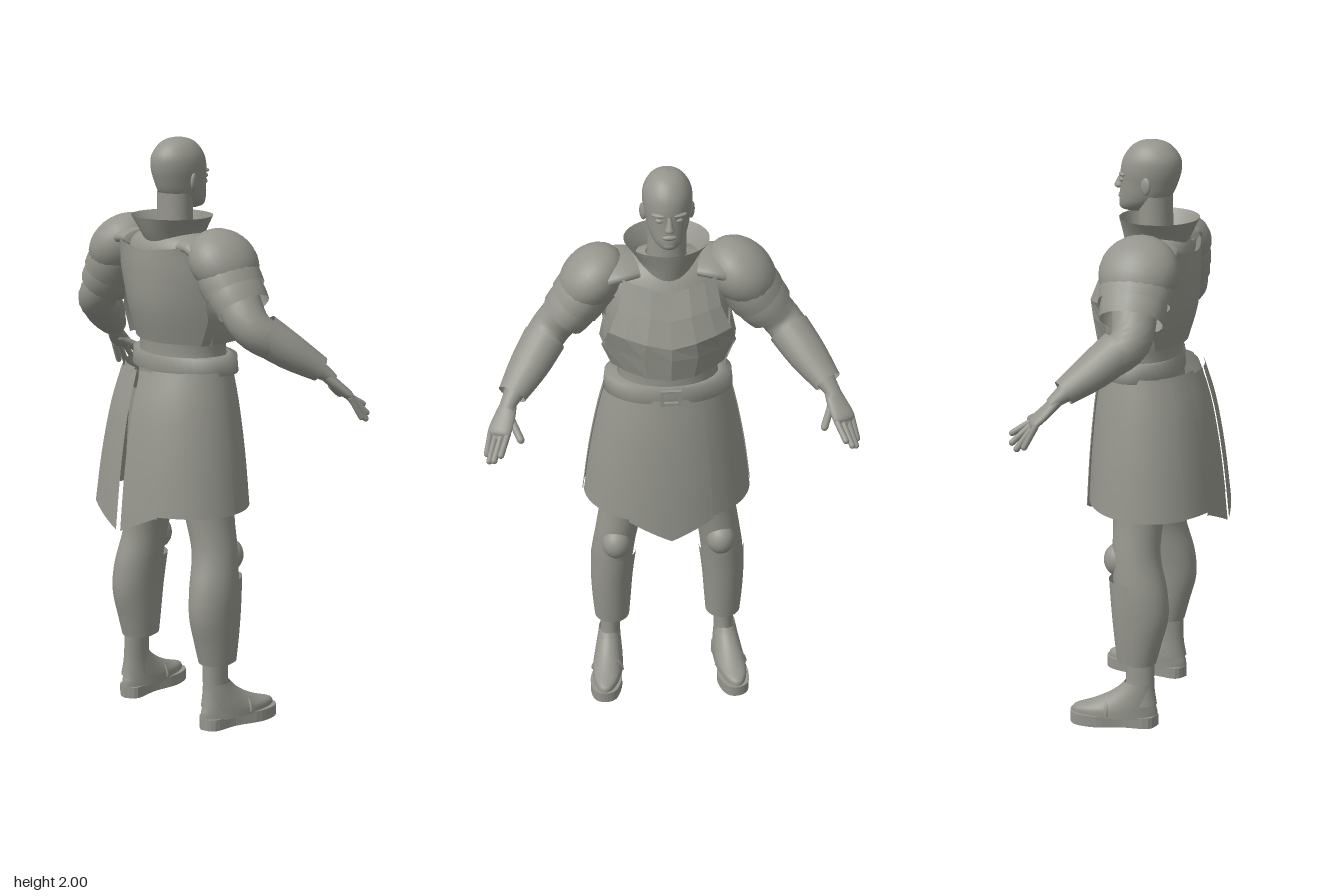
import * as THREE from 'three';

const V = (x, y, z) => new THREE.Vector3(x, y, z);
const rad = THREE.MathUtils.degToRad;
const grey = new THREE.MeshStandardMaterial({ color: 0x95958d, side: THREE.DoubleSide });
grey.name = 'stone grey';

// Surface through rows of points; wrap joins the last column to the first
function sheet(rows, wrap = false, flat = false) {
  const n = rows[0].length, idx = [], m = wrap ? n : n - 1;
  for (let i = 0; i < rows.length - 1; i++) for (let j = 0; j < m; j++) {
    const a = i * n + j, b = i * n + (j + 1) % n, c = a + n, d = b + n;
    idx.push(a, b, c, b, d, c);
  }
  let g = new THREE.BufferGeometry().setFromPoints(rows.flat());
  g.setIndex(idx);
  if (flat) g = g.toNonIndexed();
  g.computeVertexNormals();
  return g;
}

// Catmull-Rom refinement of a short list of number rows
function refine(list, steps) {
  const out = [], at = i => list[Math.max(0, Math.min(list.length - 1, i))];
  for (let i = 0; i < list.length - 1; i++) for (let k = 0; k < steps; k++) {
    const t = k / steps;
    out.push(at(i).map((p1, c) => {
      const p0 = at(i - 1)[c], p2 = at(i + 1)[c], p3 = at(i + 2)[c];
      return p1 + 0.5 * t * (p2 - p0 + t * (2 * p0 - 5 * p1 + 4 * p2 - p3 + t * (3 * (p1 - p2) + p3 - p0)));
    }));
  }
  out.push(list[list.length - 1]);
  return out;
}

// Vertical loft of elliptical rings [y, cx, cz, rx, rz]; angle 0 points to +z
function loft(rings, { steps = 4, sides = 32, from = 0, to = 360, s = 1 } = {}) {
  const wrap = to - from === 360, n = wrap ? sides : sides + 1;
  return sheet(refine(rings, steps).map(([y, cx, cz, rx, rz]) => Array.from({ length: n }, (_, j) => {
    const a = rad(from + (to - from) * j / sides);
    return V(s * (cx + rx * Math.sin(a)), y, cz + rz * Math.cos(a));
  })), wrap);
}

// Tube along stations [x, y, z, width radius, depth radius]
function limb(stations, s, steps = 5, sides = 20) {
  const st = refine(stations, steps), pts = st.map(p => V(s * p[0], p[1], p[2]));
  return sheet(st.map((p, i) => {
    const t = pts[Math.min(i + 1, pts.length - 1)].clone().sub(pts[Math.max(i - 1, 0)]).normalize();
    const u = t.clone().cross(V(0, 1, 0)).normalize(), w = u.clone().cross(t);
    return Array.from({ length: sides }, (_, j) => {
      const a = j / sides * Math.PI * 2;
      return pts[i].clone().addScaledVector(u, p[3] * Math.cos(a)).addScaledVector(w, p[4] * Math.sin(a));
    });
  }), true);
}

export function createModel() {
  const root = new THREE.Group();
  const add = (name, geo, x = 0, y = 0, z = 0) => {
    const m = new THREE.Mesh(geo, grey);
    m.name = name;
    m.position.set(x, y, z);
    root.add(m);
    return m;
  };
  const ball = (name, x, y, z, rx, ry, rz) => {
    const m = add(name, new THREE.SphereGeometry(1, 24, 16), x, y, z);
    m.scale.set(rx, ry, rz);
    return m;
  };
  const stick = (name, a, b, r) => {
    const d = b.clone().sub(a), m = add(name, new THREE.CapsuleGeometry(r, d.length() - r, 4, 10));
    m.position.copy(a).addScaledVector(d, 0.5);
    m.quaternion.setFromUnitVectors(V(0, 1, 0), d.normalize());
  };

  // Head and face, looking towards -z
  add('head', loft([[1.762, 0, -0.04, 0.012, 0.02], [1.77, 0, -0.038, 0.032, 0.045], [1.79, 0, -0.015, 0.053, 0.073],
    [1.82, 0, 0.002, 0.066, 0.088], [1.86, 0, 0.012, 0.074, 0.096], [1.9, 0, 0.018, 0.08, 0.101], [1.94, 0, 0.022, 0.077, 0.095],
    [1.975, 0, 0.022, 0.058, 0.07], [1.993, 0, 0.022, 0.033, 0.04], [2, 0, 0.022, 0.001, 0.001]]));
  add('neck', loft([[1.6, 0, 0.035, 0.075, 0.07], [1.7, 0, 0.035, 0.064, 0.058], [1.82, 0, 0.035, 0.064, 0.055]]));
  add('nose', loft([[1.835, 0, -0.088, 0.01, 0.01], [1.843, 0, -0.09, 0.016, 0.017], [1.86, 0, -0.086, 0.01, 0.014],
    [1.885, 0, -0.08, 0.007, 0.006]], { sides: 12 }));
  ball('lips', 0, 1.813, -0.082, 0.024, 0.009, 0.01);
  ball('chin', 0, 1.783, -0.072, 0.024, 0.017, 0.017);
  for (const s of [1, -1]) {
    ball('brow', s * 0.032, 1.887, -0.068, 0.026, 0.007, 0.014).rotation.y = s * -0.35;
    ball('eye', s * 0.03, 1.869, -0.071, 0.014, 0.008, 0.01);
    ball('ear', s * 0.078, 1.858, 0.02, 0.009, 0.029, 0.019).rotation.y = s * 0.4;
  }

  // Torso
  add('torso', loft([[1.18, 0, 0, 0.175, 0.13], [1.32, 0, 0, 0.168, 0.125], [1.42, 0, 0.01, 0.2, 0.135], [1.55, 0, 0.025, 0.2, 0.13],
    [1.63, 0, 0.04, 0.185, 0.115], [1.675, 0, 0.045, 0.15, 0.09], [1.7, 0, 0.04, 0.07, 0.06]]));

  // Armour plates: rows are [y, half width, centre z, edge z, drop of y at the centre]
  const plate = (rows, cols, flat) => sheet(rows.map(([y, w, zc, ze, dip]) =>
    cols.map(c => V(c * w, y - dip * (1 - Math.abs(c)), zc + (ze - zc) * Math.abs(c) ** 2))), false, flat);
  const facets = [-1, -0.75, -0.4, 0, 0.4, 0.75, 1];
  add('breastplate', plate([[1.66, 0.15, -0.105, -0.07, 0.04], [1.57, 0.165, -0.145, -0.1, 0.03], [1.49, 0.2, -0.18, -0.11, 0.035],
    [1.41, 0.222, -0.178, -0.05, 0], [1.33, 0.19, -0.168, -0.04, 0]], facets, true));
  const smooth = Array.from({ length: 17 }, (_, i) => i / 8 - 1);
  add('backplate', plate(refine([[1.66, 0.165, 0.178, 0.14, 0.02], [1.57, 0.205, 0.182, 0.1, 0], [1.45, 0.212, 0.175, 0.06, 0],
    [1.33, 0.19, 0.142, 0.04, 0]], 4), smooth, false));
  for (const s of [1, -1]) {
    add('sidePlate', sheet([[1.5, 0.205], [1.42, 0.222], [1.33, 0.188]].map(([y, x]) =>
      [-0.08, 0, 0.08].map(z => V(s * (x + 0.004 - z * z * 2), y, z)))));
    add('shoulderStrap', limb([[0.11, 1.66, 0.05, 0.1, 0.03], [0.17, 1.655, 0.04, 0.11, 0.035], [0.25, 1.61, 0.04, 0.09, 0.04]], s));
  }

  // Flared collar
  add('collar', loft([[1.64, 0, 0.03, 0.085, 0.095], [1.69, 0, 0.04, 0.1, 0.115], [1.745, 0, 0.047, 0.14, 0.133]]));

  // Belt and buckle
  add('belt', loft([[1.225, 0, -0.01, 0.19, 0.125], [1.226, 0, -0.01, 0.218, 0.14], [1.283, 0, -0.01, 0.212, 0.137],
    [1.284, 0, -0.01, 0.17, 0.12]], { steps: 1, sides: 40 }));
  const rect = (w, h) => [[-w, -h], [w, -h], [w, h], [-w, h]].map(p => new THREE.Vector2(...p));
  const frame = new THREE.Shape(rect(0.035, 0.028));
  frame.holes.push(new THREE.Path(rect(0.023, 0.017)));
  add('buckle', new THREE.ExtrudeGeometry(frame, { depth: 0.012, bevelEnabled: false }), 0, 1.255, -0.16);

  // Skirt panels hung on a widening ellipse; drop lengthens the hem near the centre line
  const skirt = refine([[1.24, 0.2, 0.02, 0.158], [1.12, 0.23, 0.03, 0.188], [0.95, 0.262, 0.038, 0.212], [0.77, 0.286, 0.044, 0.228]], 4);
  const panel = (name, from, to, off, drop) => {
    const rows = skirt.map(([y, rx, cz, rz], i) => Array.from({ length: 15 }, (_, j) => {
      const a = rad(from + (to - from) * j / 14), x = (rx + off) * Math.sin(a);
      const hang = drop * Math.max(0, 1 - Math.abs(x) / 0.15) * i / (skirt.length - 1);
      return V(x, y - hang, cz + (rz + off) * Math.cos(a));
    }));
    add(name, sheet(rows));
  };
  for (const s of [1, -1]) {
    panel('backPanel', s * 2, s * 31, 0.02, 0.07);
    panel('rearSidePanel', s * 13, s * 62, 0, 0);
    panel('sidePanel', s * 50, s * 93, 0.007, 0);
    panel('frontSidePanel', s * 91, s * 165, 0.003, 0);
  }
  panel('frontPanel', 151, 209, 0.012, 0.07);

  for (const s of [1, -1]) {
    const k = s < 0 ? 1.07 : 1;
    // Arm, bracer and layered shoulder guard
    add('arm', limb([[0.2, 1.61, 0.04, 0.085, 0.08], [0.3, 1.52, 0.045, 0.075, 0.072], [0.385, 1.42, 0.05, 0.068, 0.066],
      [0.45, 1.35, -0.035, 0.06, 0.055], [0.525, 1.268, -0.14, 0.03, 0.026], [0.54, 1.245, -0.165, 0.028, 0.02]], s));
    add('bracer', limb([[0.405, 1.4, 0.02, 0.073, 0.068], [0.46, 1.34, -0.05, 0.068, 0.06], [0.52, 1.28, -0.13, 0.05, 0.042]], s, 4));
    ball('shoulderGuard', s * 0.245, 1.615, 0.042, 0.122 * k, 0.092 * k, 0.122 * k).rotation.z = s * -0.75;
    add('shoulderLameUpper', limb([[0.245, 1.6, 0.042, 0.108 * k, 0.088 * k], [0.275, 1.56, 0.042, 0.113 * k, 0.092 * k],
      [0.3, 1.525, 0.042, 0.11 * k, 0.09 * k]], s, 3));
    add('shoulderLameLower', limb([[0.285, 1.545, 0.042, 0.1 * k, 0.083 * k], [0.315, 1.505, 0.042, 0.102 * k, 0.085 * k],
      [0.34, 1.475, 0.042, 0.097 * k, 0.08 * k]], s, 3));

    // Open hand
    add('palm', limb([[0.53, 1.26, -0.145, 0.026, 0.02], [0.545, 1.228, -0.175, 0.036, 0.018], [0.565, 1.192, -0.212, 0.041, 0.016],
      [0.57, 1.18, -0.222, 0.03, 0.008], [0.574, 1.172, -0.231, 0.001, 0.001]], s));
    [[0.565, 1.145, -0.292], [0.588, 1.12, -0.285], [0.604, 1.105, -0.264], [0.611, 1.115, -0.236]].forEach((tip, i) => {
      const o = -0.03 + i * 0.02;
      stick('finger', V(s * (0.565 + o * 0.91), 1.19, -0.21 + o * 0.41), V(s * tip[0], tip[1], tip[2]), 0.0105);
    });
    stick('thumb', V(s * 0.53, 1.222, -0.172), V(s * 0.495, 1.175, -0.252), 0.0125);

    // Leg, shin guard and kneecap
    add('leg', loft([[1.15, 0.1, 0.01, 0.1, 0.11], [0.9, 0.13, 0.01, 0.095, 0.105], [0.75, 0.15, 0.015, 0.083, 0.087],
      [0.62, 0.178, 0.015, 0.074, 0.082], [0.5, 0.195, 0.033, 0.074, 0.092], [0.4, 0.2, 0.042, 0.07, 0.09],
      [0.3, 0.2, 0.035, 0.064, 0.073], [0.23, 0.2, 0.028, 0.057, 0.062]], { s }));
    add('trouserHem', loft([[0.23, 0.2, 0.028, 0.057, 0.062], [0.232, 0.203, 0.035, 0.03, 0.04]], { steps: 1, s }));
    add('ankle', loft([[0.26, 0.203, 0.035, 0.038, 0.05], [0.15, 0.207, 0.035, 0.036, 0.05], [0.08, 0.21, 0.03, 0.043, 0.065]], { s }));
    add('shinGuard', loft([[0.53, 0.19, 0.018, 0.08, 0.094], [0.42, 0.198, 0.022, 0.075, 0.088], [0.32, 0.2, 0.02, 0.069, 0.076],
      [0.235, 0.2, 0.018, 0.062, 0.064]], { from: 95, to: 265, s }));
    ball('kneecap', s * 0.183, 0.592, -0.045, 0.05, 0.058, 0.052);

    // Shoe, turned slightly outwards
    const outline = new THREE.Shape(new THREE.SplineCurve([[0, -0.1], [0.042, -0.07], [0.04, 0.02], [0.058, 0.12], [0.04, 0.19],
      [0, 0.208], [-0.04, 0.185], [-0.055, 0.11], [-0.042, 0.02], [-0.042, -0.07], [0, -0.1]]
      .map(p => new THREE.Vector2(...p))).getPoints(40));
    const sole = new THREE.ExtrudeGeometry(outline, { depth: 0.04, bevelEnabled: false }).rotateX(-Math.PI / 2);
    const shoe = loft([[0.035, 0, -0.052, 0.054, 0.15], [0.058, 0, -0.05, 0.053, 0.146], [0.078, 0, -0.025, 0.05, 0.115],
      [0.105, 0, 0.002, 0.045, 0.085], [0.135, 0, 0.022, 0.04, 0.062], [0.16, 0, 0.033, 0.036, 0.05]]);
    const strap = new THREE.TorusGeometry(0.052, 0.007, 8, 24, Math.PI).translate(0, 0.045, -0.075);
    for (const [name, geo] of [['sole', sole], ['shoe', shoe], ['shoeStrap', strap]]) {
      add(name, geo, s * 0.215).rotation.y = s * -0.12;
    }
  }
  return root;
}
